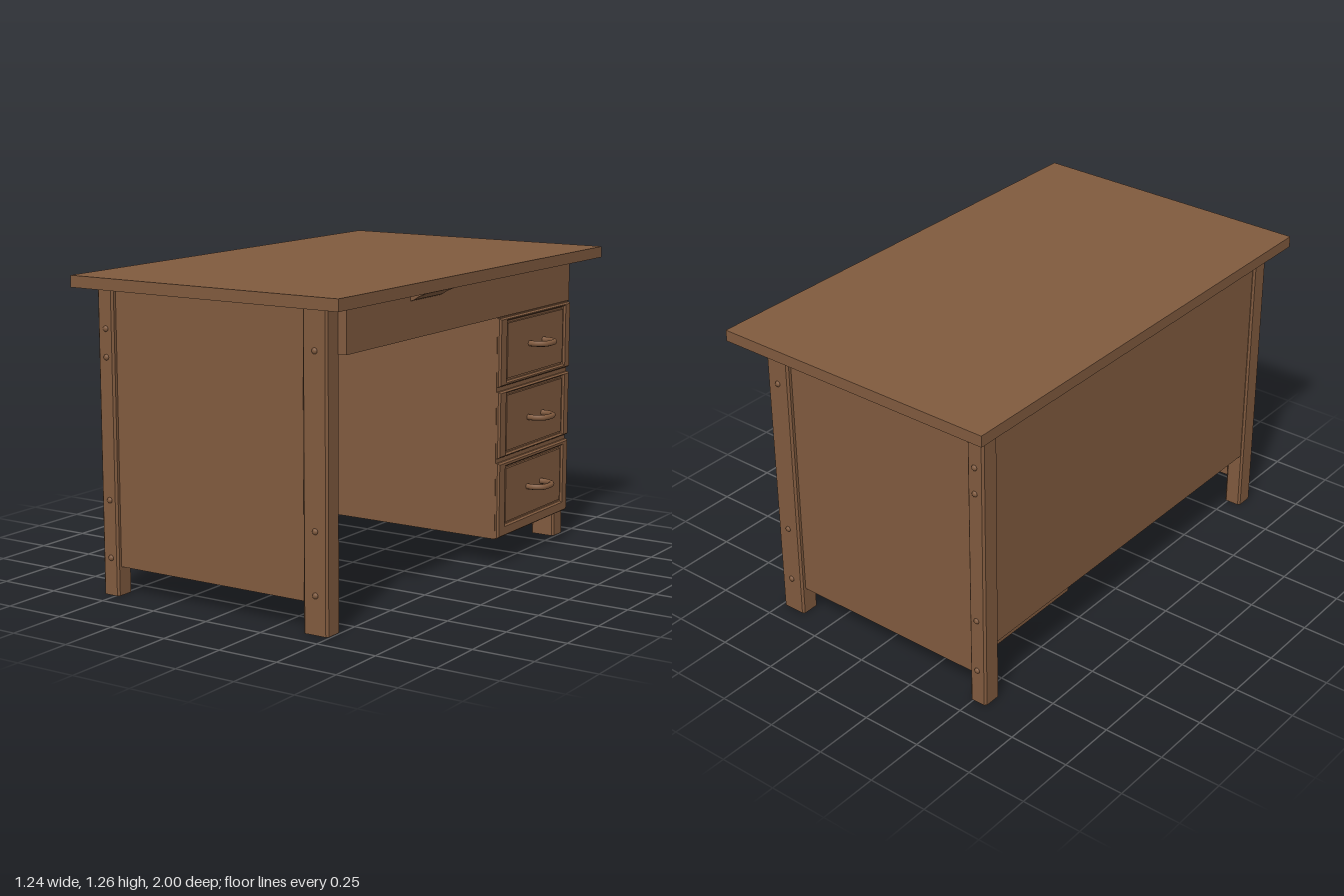
import * as THREE from 'three';

export function createModel() {
  const desk = new THREE.Group();
  desk.name = 'desk';
  const wood = new THREE.MeshStandardMaterial({ color: 0x805a3e });
  wood.name = 'brown wood';

  function add(name, geometry, parent = desk) {
    const mesh = new THREE.Mesh(geometry, wood);
    mesh.name = name;
    parent.add(mesh);
    return mesh;
  }
  // Box given by its limits on each axis
  function box(name, x0, x1, y0, y1, z0, z1) {
    const m = add(name, new THREE.BoxGeometry(x1 - x0, y1 - y0, z1 - z0));
    m.position.set((x0 + x1) / 2, (y0 + y1) / 2, (z0 + z1) / 2);
    return m;
  }
  const poly = (pts) => new THREE.Shape(pts.map(([x, y]) => new THREE.Vector2(x, y)));
  const rect = (x0, x1, y0, y1) => [[x0, y0], [x1, y0], [x1, y1], [x0, y1]];

  // Table top, slightly narrower towards +z (shape y is -z)
  const top = add('tableTop', new THREE.ExtrudeGeometry(
    poly([[-0.62, -1], [0.595, -1], [0.615, 1], [-0.62, 1]]), { depth: 0.046, bevelEnabled: false }));
  top.rotation.x = -Math.PI / 2;
  top.position.y = 1.21;

  // Legs with chamfered edges
  function leg(name, x0, x1, z0, z1) {
    const c = 0.008;
    const m = add(name, new THREE.ExtrudeGeometry(poly([
      [x0 + c, -z1], [x1 - c, -z1], [x1, -z1 + c], [x1, -z0 - c],
      [x1 - c, -z0], [x0 + c, -z0], [x0, -z0 - c], [x0, -z1 + c],
    ]), { depth: 1.21, bevelEnabled: false }));
    m.rotation.x = -Math.PI / 2;
  }
  for (const s of [1, -1]) {
    const z0 = s > 0 ? 0.838 : -0.92;
    leg('backLeg', -0.56, -0.485, z0, z0 + 0.082);
    leg('frontLeg', 0.385, 0.493, z0, z0 + 0.082);
    box('endPanel', -0.49, 0.39, 0.115, 1.21, s > 0 ? 0.86 : -0.9, s > 0 ? 0.9 : -0.86);

    // Round bolt heads on the outer leg faces
    const bolts = [[-0.52, 1.05], [-0.52, 0.94], [-0.52, 0.38], [-0.52, 0.15],
      [0.44, 1.05], [0.44, 0.39], [0.44, 0.15]];
    for (const [x, y] of bolts) {
      const b = add('bolt', new THREE.SphereGeometry(0.012, 10, 6));
      b.scale.z = 0.7;
      b.position.set(x, y, s * 0.92);
    }
  }

  // Back panel, wide upper drawer and drawer cabinet
  box('backPanel', -0.55, -0.515, 0.25, 1.21, -0.845, 0.845);
  box('upperCase', -0.515, 0.48, 1.03, 1.21, -0.86, 0.86);
  box('upperDrawerFront', 0.48, 0.53, 1.033, 1.21, -0.87, 0.85);
  box('cabinet', -0.45, 0.48, 0.115, 1.03, -0.862, -0.262);
  box('cabinetFrame', 0.48, 0.522, 0.115, 1.03, -0.873, -0.262);

  // Finger lip under the table edge
  const lip = add('fingerLip', new THREE.ExtrudeGeometry(
    poly([[0.525, 1.175], [0.545, 1.182], [0.565, 1.195], [0.6, 1.21], [0.525, 1.21]]),
    { depth: 0.21, bevelEnabled: false }));
  lip.position.z = 0.21;

  // Drawers: bevelled frame, recessed field and bow handle
  const drawers = [
    { y0: 0.118, y1: 0.432, in0: 0.165, in1: 0.41, grip: 0.29 },
    { y0: 0.452, y1: 0.727, in0: 0.465, in1: 0.715, grip: 0.585 },
    { y0: 0.747, y1: 1.027, in0: 0.765, in1: 1.012, grip: 0.895 },
  ];
  for (const d of drawers) {
    const drawer = new THREE.Group();
    drawer.name = 'drawer';
    desk.add(drawer);

    const outline = poly(rect(0.264, 0.872, d.y0, d.y1));
    outline.holes.push(poly(rect(0.322, 0.822, d.in0, d.in1)));
    const frame = add('drawerFrame', new THREE.ExtrudeGeometry(outline, {
      depth: 0.012, bevelThickness: 0.008, bevelSize: 0.006, bevelOffset: -0.006, bevelSegments: 1,
    }), drawer);
    frame.rotation.y = Math.PI / 2;
    frame.position.x = 0.518;

    const field = add('drawerField', new THREE.BoxGeometry(0.016, d.in1 - d.in0 - 0.02, 0.48), drawer);
    field.position.set(0.525, (d.in0 + d.in1) / 2, -0.572);

    const path = new THREE.CatmullRomCurve3([
      [0.525, -0.06], [0.565, -0.06], [0.595, -0.04], [0.603, 0],
      [0.595, 0.04], [0.565, 0.06], [0.525, 0.06],
    ].map(([x, z]) => new THREE.Vector3(x, d.grip, z - 0.577)));
    add('handle', new THREE.TubeGeometry(path, 24, 0.012, 8), drawer);
  }
  return desk;
}
